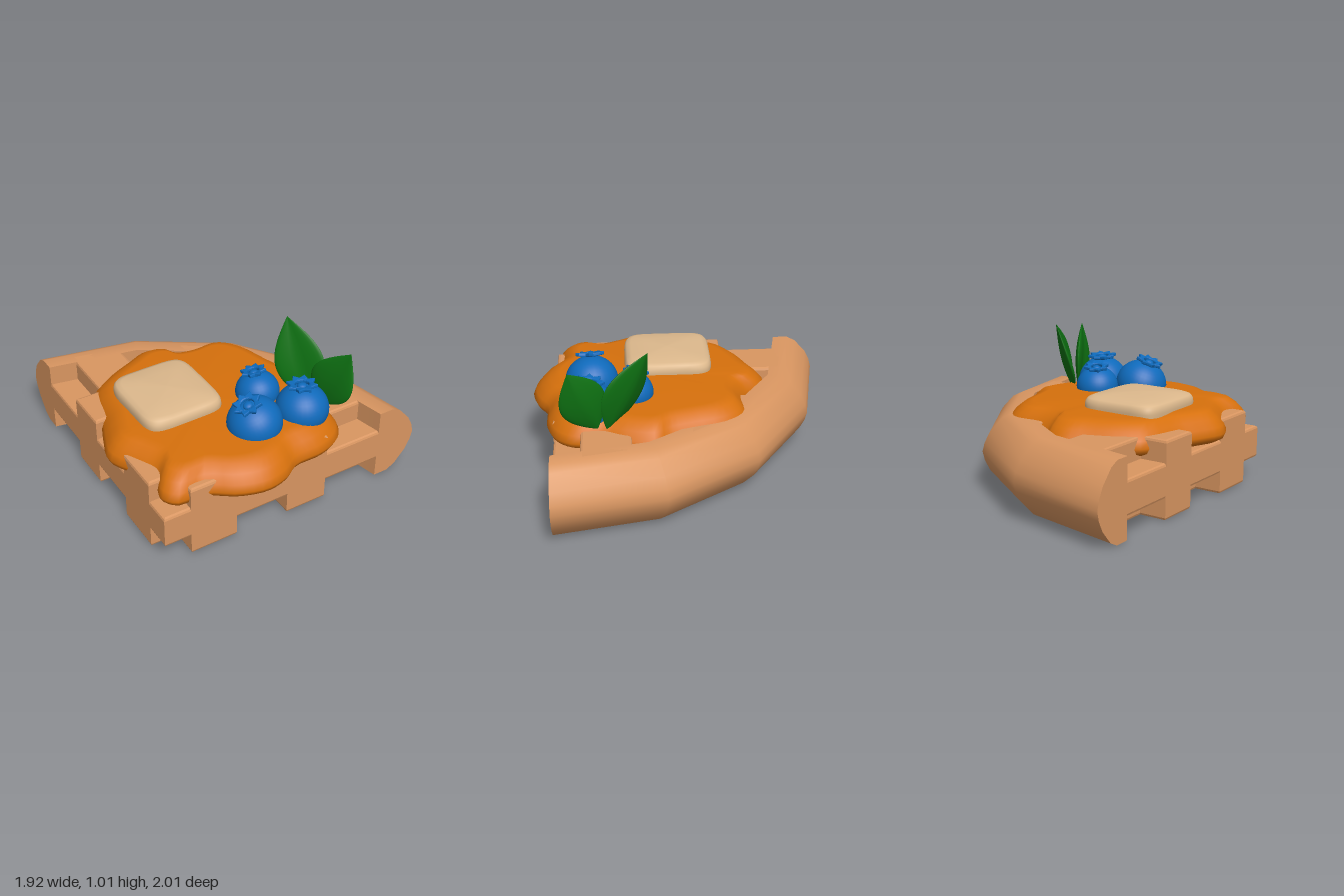
import * as THREE from 'three';
import { toCreasedNormals } from 'three/addons/utils/BufferGeometryUtils.js';

const paint = (name, color, extra = {}) => Object.assign(new THREE.MeshStandardMaterial({ color, ...extra }), { name });

function add(parent, name, geometry, material) {
  const mesh = new THREE.Mesh(geometry, material);
  mesh.name = name;
  parent.add(mesh);
  return mesh;
}

// Flat shape raised between two heights, with softly bevelled edges
function plate(points, y0, y1, bevel = 0.018) {
  const geo = new THREE.ExtrudeGeometry(new THREE.Shape(points), {
    depth: y1 - y0 - 2 * bevel, bevelThickness: bevel, bevelSize: bevel,
    bevelOffset: -bevel, bevelSegments: 2, curveSegments: 4,
  });
  return geo.rotateX(-Math.PI / 2).translate(0, y0 + bevel, 0);
}

// Smooth solid from one outline repeated at [scale, height] levels, bottom to top
function loft(outline, levels, cx, cz) {
  const n = outline.length, pos = [], index = [];
  levels.forEach(([s, y], i) => {
    outline.forEach((p, j) => {
      pos.push(cx + (p.x - cx) * s, y, cz + (p.y - cz) * s);
      if (i === levels.length - 1) return;
      const a = i * n + j, b = i * n + (j + 1) % n;
      index.push(a, a + n, b, b, a + n, b + n);
    });
  });
  const geo = new THREE.BufferGeometry();
  geo.setAttribute('position', new THREE.Float32BufferAttribute(pos, 3));
  geo.setIndex(index);
  geo.computeVertexNormals();
  return geo;
}

// Quarter waffle: local x and -z run along the two cut sides from the corner
function makeWaffle(mat) {
  const waffle = new THREE.Group();
  waffle.name = 'waffle';
  waffle.position.set(-0.9, 0, 0.85);
  const arc = [0, 1, 2, 3, 4].map(i => {
    const t = i * Math.PI / 8;
    return new THREE.Vector2(1.65 * Math.cos(t), 1.65 * Math.sin(t));
  });
  add(waffle, 'waffleSlab', plate([new THREE.Vector2(0, 0), ...arc], 0.14, 0.36), mat);

  // distance from a cut side to the rim
  const reach = a => {
    const i = arc.findIndex((p, k) => k > 0 && p.x <= a);
    const p = arc[i - 1], q = arc[i];
    return p.y + (q.y - p.y) * (a - p.x) / (q.x - p.x);
  };
  for (const [a, b] of [[0.18, 0.5], [0.87, 1.16]]) {
    const rib = [[a, 0], [b, 0], [b, reach(b)], [a, reach(a)]];
    add(waffle, 'lengthwiseRib', plate(rib.map(p => new THREE.Vector2(p[0], p[1])), 0, 0.5), mat);
    add(waffle, 'crosswiseRib', plate(rib.map(p => new THREE.Vector2(p[1], p[0])).reverse(), 0, 0.5), mat);
  }

  // rounded outer crust with closed ends
  const profile = [[1.57, 0], [1.67, 0], [1.73, 0.03], [1.81, 0.12], [1.845, 0.19], [1.86, 0.25],
    [1.845, 0.31], [1.81, 0.38], [1.73, 0.47], [1.67, 0.5], [1.57, 0.5]].map(p => new THREE.Vector2(...p));
  const crust = new THREE.LatheGeometry([...profile, profile[0]], 4, Math.PI / 2, Math.PI / 2);
  add(waffle, 'crust', toCreasedNormals(crust, 0.8), mat);
  const end = new THREE.ShapeGeometry(new THREE.Shape(profile));
  add(waffle, 'crustEndFront', end, mat);
  add(waffle, 'crustEndSide', end, mat).rotation.y = Math.PI / 2;
  return waffle;
}

// Berry with a star crown, tilted by rx and rz
function makeBerry(x, y, z, r, crownSize, rx, rz, mat) {
  const berry = new THREE.Group();
  berry.name = 'blueberry';
  berry.position.set(x, y, z);
  berry.rotation.set(rx, 0, rz);
  add(berry, 'berryBody', new THREE.SphereGeometry(r, 32, 20), mat).scale.y = 0.93;
  const star = new THREE.Shape();
  for (let i = 0; i < 16; i++) {
    const rad = crownSize * (i % 2 ? 0.7 : 1), t = i * Math.PI / 8;
    star[i ? 'lineTo' : 'moveTo'](rad * Math.cos(t), rad * Math.sin(t));
  }
  star.closePath();
  star.holes.push(new THREE.Path().absarc(0, 0, crownSize * 0.45, 0, Math.PI * 2, true));
  const crown = new THREE.ExtrudeGeometry(star, {
    depth: 0.012, bevelThickness: 0.006, bevelSize: 0.006, bevelOffset: -0.006, bevelSegments: 2, curveSegments: 8,
  }).rotateX(-Math.PI / 2);
  // petals lift a little towards their tips
  const p = crown.attributes.position;
  for (let i = 0; i < p.count; i++) p.setY(i, p.getY(i) + 0.15 * Math.hypot(p.getX(i), p.getZ(i)));
  crown.computeVertexNormals();
  add(berry, 'berryCrown', crown, mat).position.y = r * 0.88;
  const button = add(berry, 'berryButton', new THREE.SphereGeometry(crownSize * 0.32, 16, 10), mat);
  button.position.y = r * 0.93;
  button.scale.y = 0.6;
  return berry;
}

// Pointed, lightly folded leaf from base to tip, spread along the side direction
function makeLeaf(base, tip, side, halfWidth, fold, mat) {
  const along = new THREE.Vector3().subVectors(tip, base), length = along.length();
  along.normalize();
  const normal = new THREE.Vector3().crossVectors(side, along).normalize();
  const across = new THREE.Vector3().crossVectors(along, normal);
  const geo = new THREE.SphereGeometry(1, 24, 24);
  const p = geo.attributes.position;
  for (let i = 0; i < p.count; i++) {
    const y = p.getY(i), t = (y + 1) / 2, ring = Math.sqrt(Math.max(1 - y * y, 1e-6));
    const swell = Math.sin(Math.PI * Math.pow(t, 0.9));
    const u = p.getX(i) / ring * swell, n = p.getZ(i) / ring * swell;
    p.setXYZ(i, u * halfWidth, t * length, n * 0.028 + fold * Math.abs(u));
  }
  geo.computeVertexNormals();
  geo.applyMatrix4(new THREE.Matrix4().makeBasis(across, along, normal).setPosition(base));
  const mesh = new THREE.Mesh(geo, mat);
  mesh.name = 'leaf';
  return mesh;
}

export function createModel() {
  const model = new THREE.Group();
  model.name = 'waffleDessert';
  const waffleMat = paint('waffle', 0xd99661, { side: THREE.DoubleSide });
  const syrupMat = paint('syrup', 0xd6700c);
  const butterMat = paint('butter', 0xdcb88c);
  const berryMat = paint('blueberry', 0x0f6abb);
  const leafMat = paint('leafGreen', 0x0e7012);

  model.add(makeWaffle(waffleMat));

  // syrup puddle drooping over the cut sides
  const edge = [[-0.45, -0.52], [-0.3, -0.58], [-0.18, -0.55], [-0.12, -0.45], [0.02, -0.41], [0.23, -0.41],
    [0.35, -0.28], [0.42, -0.05], [0.47, 0.1], [0.54, 0.2], [0.5, 0.4], [0.43, 0.55], [0.43, 0.72],
    [0.35, 0.83], [0.2, 0.89], [0, 0.9], [-0.12, 0.97], [-0.27, 1], [-0.45, 0.95], [-0.62, 0.84],
    [-0.8, 0.83], [-0.86, 0.74], [-0.82, 0.6], [-0.88, 0.45], [-0.96, 0.27], [-0.91, 0.1],
    [-0.85, -0.05], [-0.77, -0.33], [-0.63, -0.44]].map(([x, z]) => new THREE.Vector3(x, 0, z));
  const outline = new THREE.CatmullRomCurve3(edge, true).getPoints(96).slice(0, -1)
    .map(p => new THREE.Vector2(p.x, p.z));
  add(model, 'syrup', loft(outline, [[0, 0.37], [0.8, 0.365], [0.92, 0.37], [0.98, 0.395], [1, 0.43],
    [0.975, 0.475], [0.92, 0.525], [0.85, 0.565], [0.77, 0.583], [0, 0.587]], -0.22, 0.22), syrupMat);

  // soft square pat of butter
  const pow = v => Math.sign(v) * Math.pow(Math.abs(v), 0.36);
  const square = Array.from({ length: 64 }, (_, i) => {
    const t = i * Math.PI / 32;
    return new THREE.Vector2(-0.445 + 0.275 * pow(Math.cos(t)), 0.085 + 0.295 * pow(Math.sin(t)));
  });
  add(model, 'butter', loft(square, [[0.98, 0.55], [1, 0.595], [0.985, 0.625], [0.94, 0.645],
    [0.84, 0.657], [0.5, 0.669], [0, 0.673]], -0.445, 0.085), butterMat);

  model.add(
    makeBerry(-0.12, 0.595, 0.6, 0.175, 0.095, 0.05, 0.36, berryMat),
    makeBerry(0.22, 0.585, 0.62, 0.17, 0.1, -0.08, 0, berryMat),
    makeBerry(0.07, 0.6, 0.34, 0.142, 0.085, -0.22, 0.1, berryMat),
  );

  const v = (x, y, z) => new THREE.Vector3(x, y, z);
  model.add(
    makeLeaf(v(0.39, 0.5, 0.5), v(0.35, 1.01, 0.24), v(-0.2, 0.1, -0.3), 0.165, -0.03, leafMat),
    makeLeaf(v(0.4, 0.52, 0.56), v(0.49, 0.95, 0.73), v(0.1, -0.1, 0.27), 0.15, 0.03, leafMat),
  );
  return model;
}
